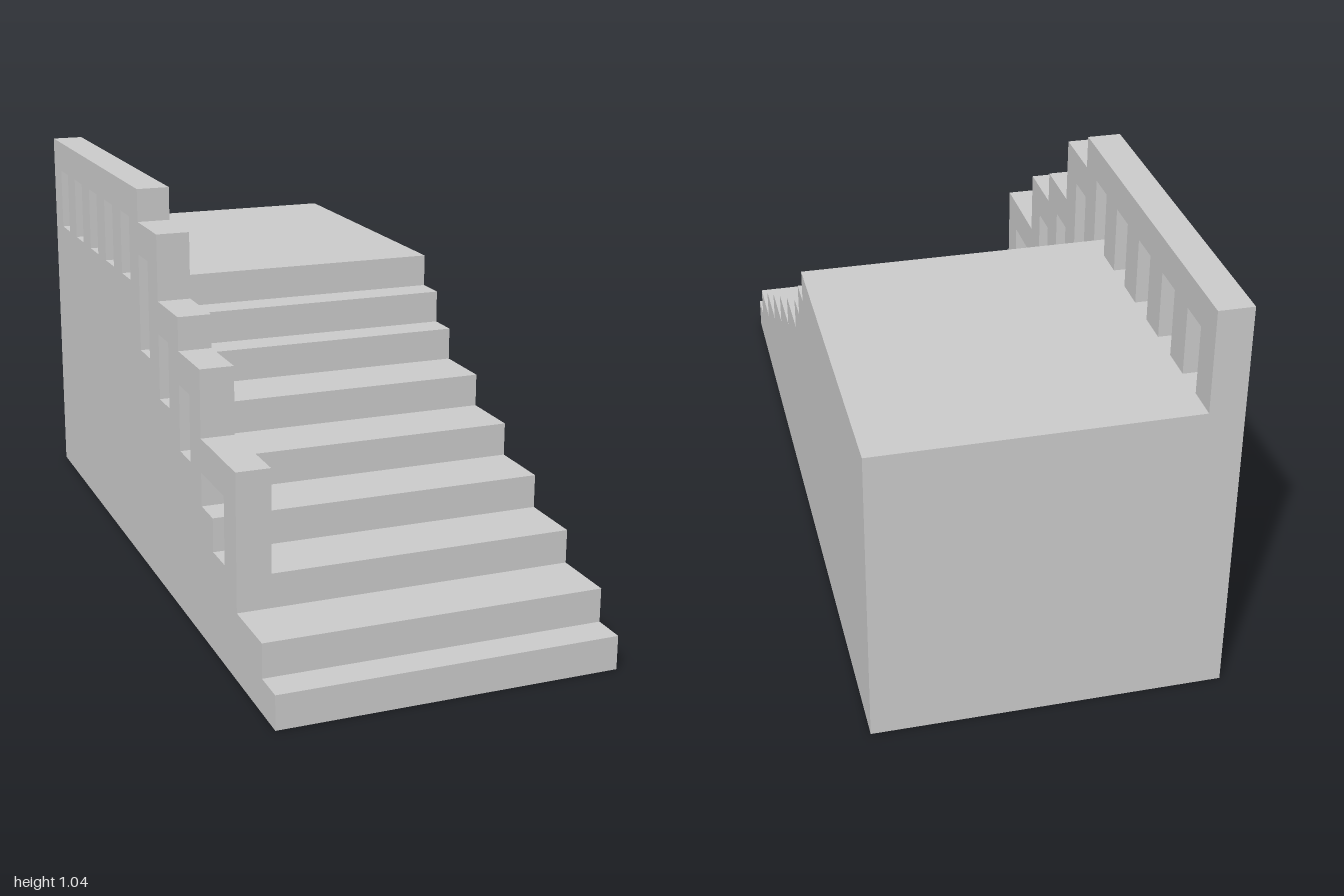
import * as THREE from 'three';

const U = 2 / 23; // one modular block: tread riser, post and rail thickness
const material = new THREE.MeshStandardMaterial({ color: 0xcccccc, flatShading: true });

// Extrudes a side profile sideways; points are [blocks back from the front, blocks up]
function sideProfile(name, points, rightEdge, leftEdge) {
  const shape = new THREE.Shape(points.map(([s, y]) => new THREE.Vector2(1 - s * U, y * U)));
  const geometry = new THREE.ExtrudeGeometry(shape, { depth: (leftEdge - rightEdge) * U, bevelEnabled: false });
  geometry.rotateY(-Math.PI / 2).translate(leftEdge * U, 0, 0);
  const mesh = new THREE.Mesh(geometry, material);
  mesh.name = name;
  return mesh;
}

// Turns [start, height] pairs into a rising stepped line ending at s = end
function steppedLine(steps, end) {
  const points = [];
  steps.forEach(([s, y], i) => {
    const next = i + 1 < steps.length ? steps[i + 1][0] : end;
    points.push([s, y], [next, y]);
  });
  return points;
}

export function createModel() {
  const model = new THREE.Group();
  model.name = 'staircase';

  // Solid flight of steps with the landing at the back
  const treads = [[0, 1], [1, 2], [3, 3], [5, 4], [7, 5], [9, 6], [11, 7], [12, 8], [13, 9]];
  model.add(sideProfile('stepsAndLanding', [[0, 0], ...steppedLine(treads, 23), [23, 0]], -5, 5));

  // Balustrade on the right edge: stepped handrail along the top
  const handrail = steppedLine([[3, 6], [6, 8], [8, 9], [10, 11], [12, 12]], 23);

  // Underside of the balustrade, back to front: openings between the landing posts
  const underside = [[23, 9]];
  for (let s = 22; s > 13; s -= 2) {
    underside.push([s, 9], [s, 11], [s - 1, 11], [s - 1, s > 14 ? 9 : 8]);
  }
  // Openings over the steps: [back, front, top, step under back post, step under front post]
  const openings = [[12, 11, 10, 8, 6], [10, 9, 8, 6, 5], [8, 7, 7, 5, 4], [6, 4, 5, 4, 3]];
  for (const [back, front, top, backStep, frontStep] of openings) {
    underside.push([back, backStep], [back, top], [front, top], [front, frontStep]);
  }
  underside.push([3, 3]);
  model.add(sideProfile('balustrade', [...handrail, ...underside], -5, -4));

  return model;
}
